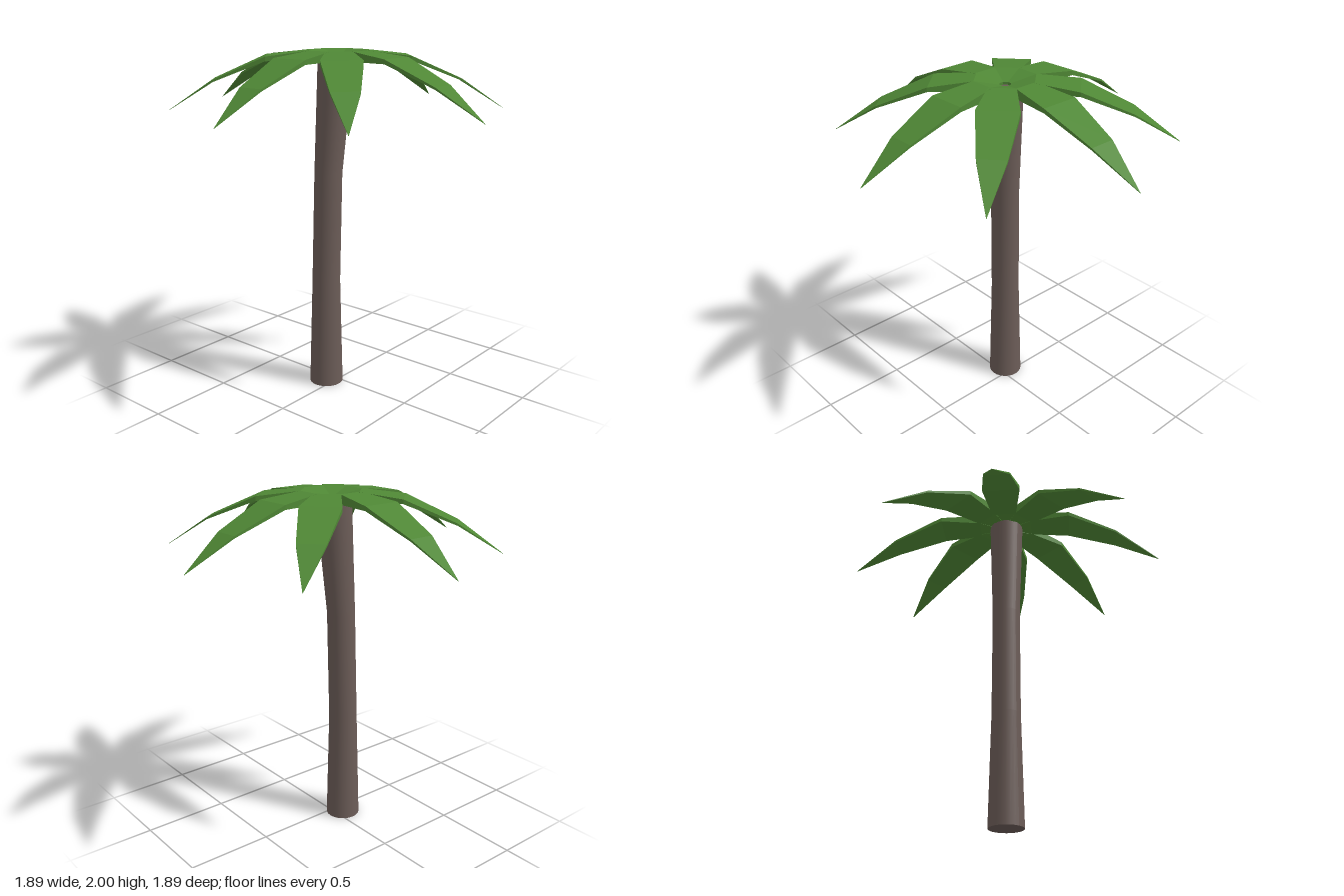
import * as THREE from 'three';

const bark = new THREE.MeshStandardMaterial({ color: 0x6b5c57 });
const leaf = new THREE.MeshStandardMaterial({ color: 0x4f8735, flatShading: true });

// Trunk: one cylinder whose rings are shifted and scaled to lean and flare
function makeTrunk() {
  const rings = [ // height, sideways shift, radius, bottom to top
    [0, 0.052, 0.1], [0.65, 0.051, 0.083], [1.3, 0.041, 0.081], [1.95, 0.01, 0.102],
  ];
  const geo = new THREE.CylinderGeometry(1, 1, 3, 24, 3);
  const p = geo.attributes.position;
  for (let i = 0; i < p.count; i++) {
    const [y, shift, r] = rings[Math.round(p.getY(i) + 1.5)];
    p.setXYZ(i, p.getX(i) * r - shift, y, p.getZ(i) * r + shift);
  }
  geo.computeVertexNormals();
  const trunk = new THREE.Mesh(geo, bark);
  trunk.name = 'trunk';
  return trunk;
}

// Frond: rectangular cross-sections lofted outward along +x to a point
function makeFrondGeometry() {
  const sections = [ // distance, top height, half width, thickness
    [0.03, 1.965, 0.045, 0.05], [0.16, 2.0, 0.074, 0.055], [0.4, 1.972, 0.112, 0.025],
    [0.69, 1.845, 0.075, 0.012], [0.943, 1.675, 0.001, 0.002],
  ];
  const pos = [], index = [];
  for (const [x, y, w, t] of sections) {
    pos.push(x, y, w, x, y, -w, x, y - t, -w, x, y - t, w);
  }
  const last = (sections.length - 1) * 4;
  for (let a = 0; a < last; a += 4) {
    for (let k = 0; k < 4; k++) {
      const n = (k + 1) % 4;
      index.push(a + k, a + k + 4, a + n + 4, a + k, a + n + 4, a + n);
    }
  }
  index.push(0, 1, 2, 0, 2, 3, last, last + 2, last + 1, last, last + 3, last + 2);
  const geo = new THREE.BufferGeometry();
  geo.setAttribute('position', new THREE.Float32BufferAttribute(pos, 3));
  geo.setIndex(index);
  const flat = geo.toNonIndexed();
  flat.computeVertexNormals();
  return flat;
}

export function createModel() {
  const palm = new THREE.Group();
  palm.name = 'palmTree';
  palm.add(makeTrunk());

  // Crown: eight fronds, the diagonal ones turned slightly off the even spacing
  const crown = new THREE.Group();
  crown.name = 'crown';
  crown.position.x = -0.005;
  const frondGeo = makeFrondGeometry();
  for (let i = 0; i < 8; i++) {
    const frond = new THREE.Mesh(frondGeo, leaf);
    frond.name = 'frond' + (i + 1);
    frond.rotation.y = THREE.MathUtils.degToRad(i * 45 + (i % 2 ? -2.2 : 0.7));
    crown.add(frond);
  }
  palm.add(crown);
  return palm;
}
